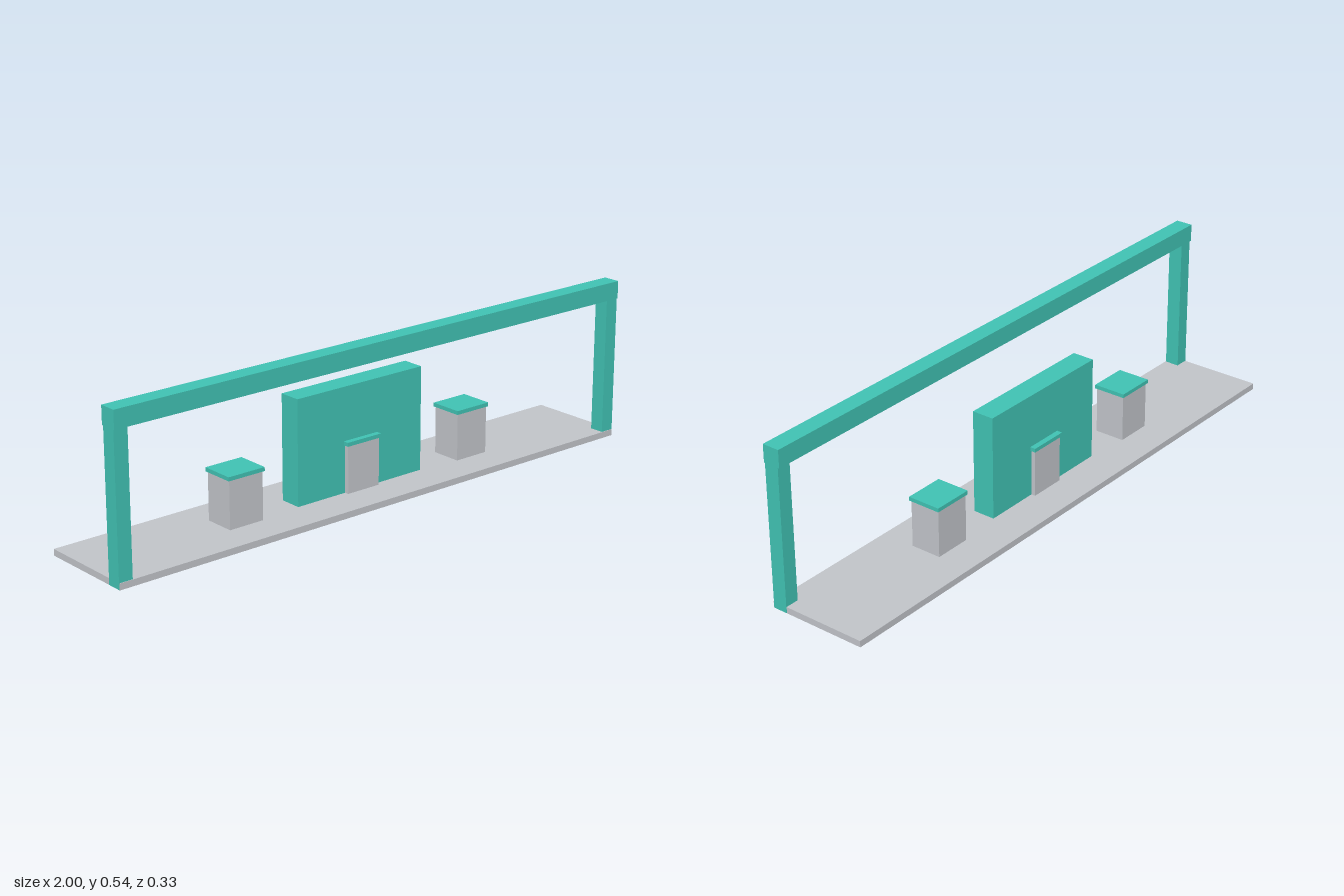
import * as THREE from 'three';

export function createModel() {
  const model = new THREE.Group();
  model.name = 'gateStation';

  const teal = new THREE.MeshStandardMaterial({ color: 0x40c1b2 });
  teal.name = 'teal';
  const grey = new THREE.MeshStandardMaterial({ color: 0xc0c3c8 });
  grey.name = 'light grey';

  // Box given by its width, depth, bottom and top heights, and centre
  function addBox(name, material, width, depth, bottom, top, x = 0, z = 0) {
    const mesh = new THREE.Mesh(new THREE.BoxGeometry(width, top - bottom, depth), material);
    mesh.position.set(x, (bottom + top) / 2, z);
    mesh.name = name;
    model.add(mesh);
  }

  // Floor slab
  addBox('basePlate', grey, 1.998, 0.333, 0, 0.021);

  // Gantry along the front edge
  for (const side of [-1, 1]) {
    addBox(side > 0 ? 'leftPost' : 'rightPost', teal, 0.047, 0.049, 0.0005, 0.477, side * 0.9765, 0.14);
  }
  addBox('topBeam', teal, 2, 0.058, 0.476, 0.535, 0, 0.139);

  // Central wall
  addBox('centralWall', teal, 0.5, 0.075, 0.005, 0.367);

  // Row of capped pedestals, the middle one passing through the wall
  for (const x of [-0.46, 0, 0.46]) {
    addBox('pedestal', grey, 0.125, 0.104, 0.02, 0.179, x);
    addBox('pedestalCap', teal, 0.135, 0.113, 0.178, 0.191, x);
  }

  return model;
}
